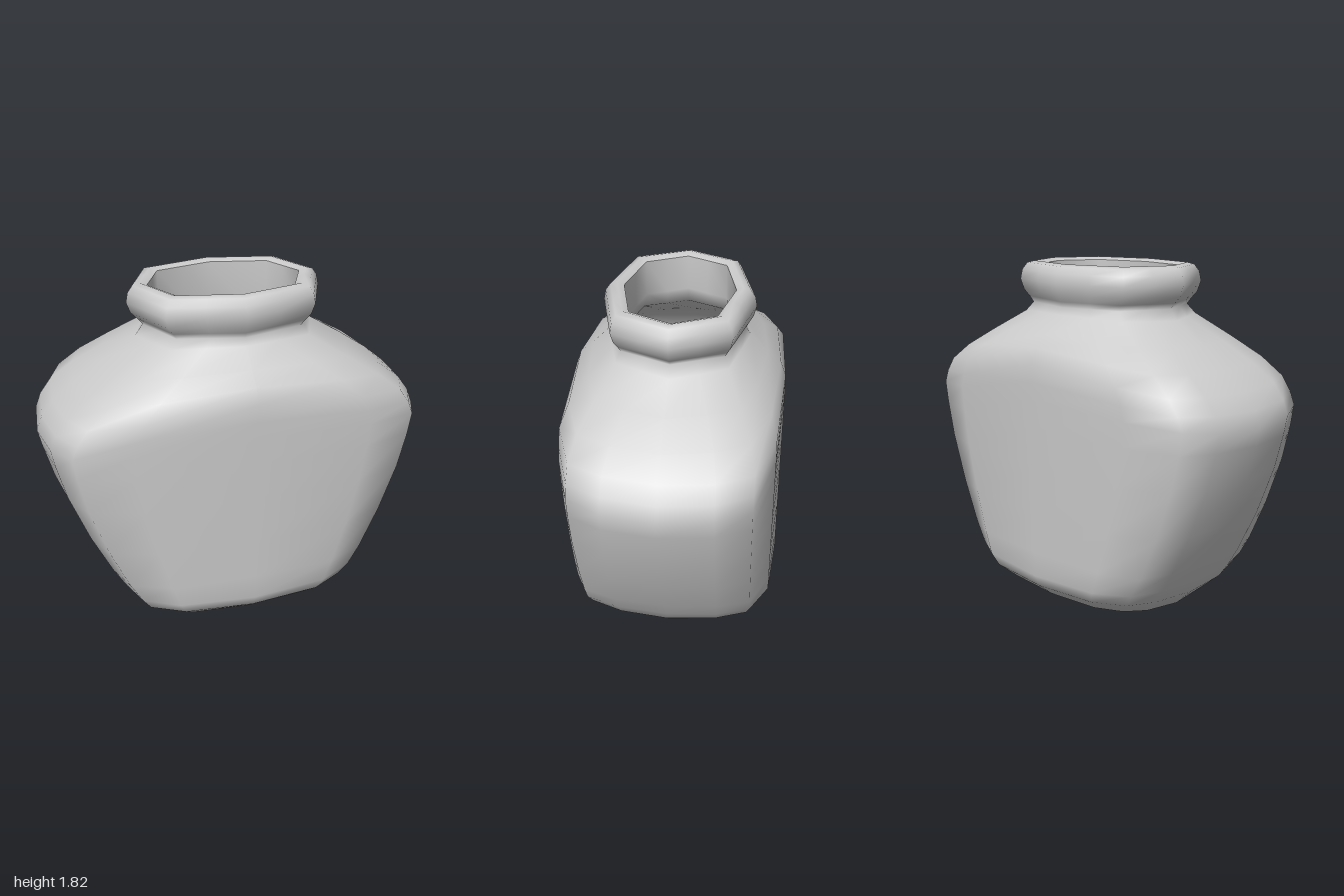
import * as THREE from 'three';

// Unit quarter sections (x, z): boxy for the body, octagonal for the neck
const BOXY = [[1, 0], [0.97, 0.48], [0.89, 0.79], [0.61, 0.955], [0, 1]];
const OCTAGON = [[1, 0], [0.872, 0.378], [0.745, 0.755], [0.372, 0.878], [0, 1]];
const SIDES = 16;

// Point i of the mirrored section; t blends boxy (0) to octagonal (1)
function sectionPoint(i, t) {
  const q = Math.floor(i / 4), k = q % 2 ? 4 - (i % 4) : i % 4;
  const x = THREE.MathUtils.lerp(BOXY[k][0], OCTAGON[k][0], t);
  const z = THREE.MathUtils.lerp(BOXY[k][1], OCTAGON[k][1], t);
  return [q === 1 || q === 2 ? -x : x, q >= 2 ? -z : z];
}

// Skin rings of [half width, half depth, y at sides, y at front, corner lift, t]
function loft(rings, poleY) {
  const pos = [], index = [];
  for (const [w, d, ySide, yFront, lift = 0, t = 0] of rings) {
    for (let i = 0; i < SIDES; i++) {
      const [x, z] = sectionPoint(i, t);
      const a = x * x, b = z * z;
      const y = (ySide * a + yFront * b) / (a + b) + lift * Math.max(0, a + b - 1);
      pos.push(x * w, y, z * d);
    }
  }
  for (let r = 0; r < rings.length - 1; r++) {
    for (let i = 0; i < SIDES; i++) {
      const j = (i + 1) % SIDES;
      const a = r * SIDES + i, b = r * SIDES + j;
      index.push(a, a + SIDES, b, b, a + SIDES, b + SIDES);
    }
  }
  // Close the first ring with a centre point
  const pole = pos.length / 3;
  pos.push(0, poleY, 0);
  for (let i = 0; i < SIDES; i++) index.push(pole, i, (i + 1) % SIDES);
  const geo = new THREE.BufferGeometry();
  geo.setAttribute('position', new THREE.Float32BufferAttribute(pos, 3));
  geo.setIndex(index);
  geo.computeVertexNormals();
  return geo;
}

export function createModel() {
  const group = new THREE.Group();
  group.name = 'vase';
  const material = new THREE.MeshStandardMaterial({ color: 0xcccccc, side: THREE.DoubleSide });

  // Rounded base, flaring body, shoulder, neck and rolled lip
  const outer = [
    [0.33, 0.27, 0.02, 0.03, 0.02],
    [0.50, 0.44, 0.055, 0.09, 0.06],
    [0.60, 0.525, 0.15, 0.16, 0.05],
    [0.65, 0.55, 0.23, 0.22, 0.04],
    [0.72, 0.55, 0.35, 0.35],
    [0.83, 0.55, 0.57, 0.57],
    [0.93, 0.55, 0.82, 0.82],
    [0.98, 0.55, 1.00, 1.02],
    [1.00, 0.55, 1.09, 1.16],
    [0.97, 0.55, 1.17, 1.25, -0.04],
    [0.91, 0.548, 1.25, 1.34, -0.06],
    [0.80, 0.52, 1.34, 1.42, -0.06, 0.15],
    [0.65, 0.45, 1.44, 1.48, -0.03, 0.4],
    [0.47, 0.36, 1.55, 1.57, 0, 0.9],
    [0.43, 0.335, 1.605, 1.605, 0, 1],
    [0.455, 0.35, 1.635, 1.635, 0, 1],
    [0.49, 0.37, 1.67, 1.67, 0, 1],
    [0.51, 0.385, 1.725, 1.725, 0, 1],
    [0.50, 0.375, 1.775, 1.775, 0, 1],
    [0.475, 0.35, 1.81, 1.81, 0, 1],
    [0.44, 0.315, 1.82, 1.82, 0, 1],
    [0.40, 0.28, 1.805, 1.805, 0, 1],
  ];
  const body = new THREE.Mesh(loft(outer, 0), material);
  body.name = 'body';
  group.add(body);

  // Hollow inside, from the floor up to the mouth
  const inner = [
    [0.46, 0.42, 0.2, 0.2],
    [0.61, 0.51, 0.28, 0.28],
    [0.79, 0.51, 0.6, 0.6],
    [0.94, 0.51, 1.03, 1.03],
    [0.95, 0.51, 1.11, 1.18],
    [0.84, 0.50, 1.25, 1.30, -0.06],
    [0.62, 0.42, 1.40, 1.44, -0.05, 0.4],
    [0.42, 0.30, 1.54, 1.55, 0, 1],
    [0.40, 0.28, 1.62, 1.62, 0, 1],
    [0.40, 0.28, 1.805, 1.805, 0, 1],
  ];
  const lining = loft(inner, 0.2);
  // Turn the faces inward
  lining.index.array.reverse();
  lining.computeVertexNormals();
  const inside = new THREE.Mesh(lining, material);
  inside.name = 'innerWall';
  group.add(inside);

  return group;
}
